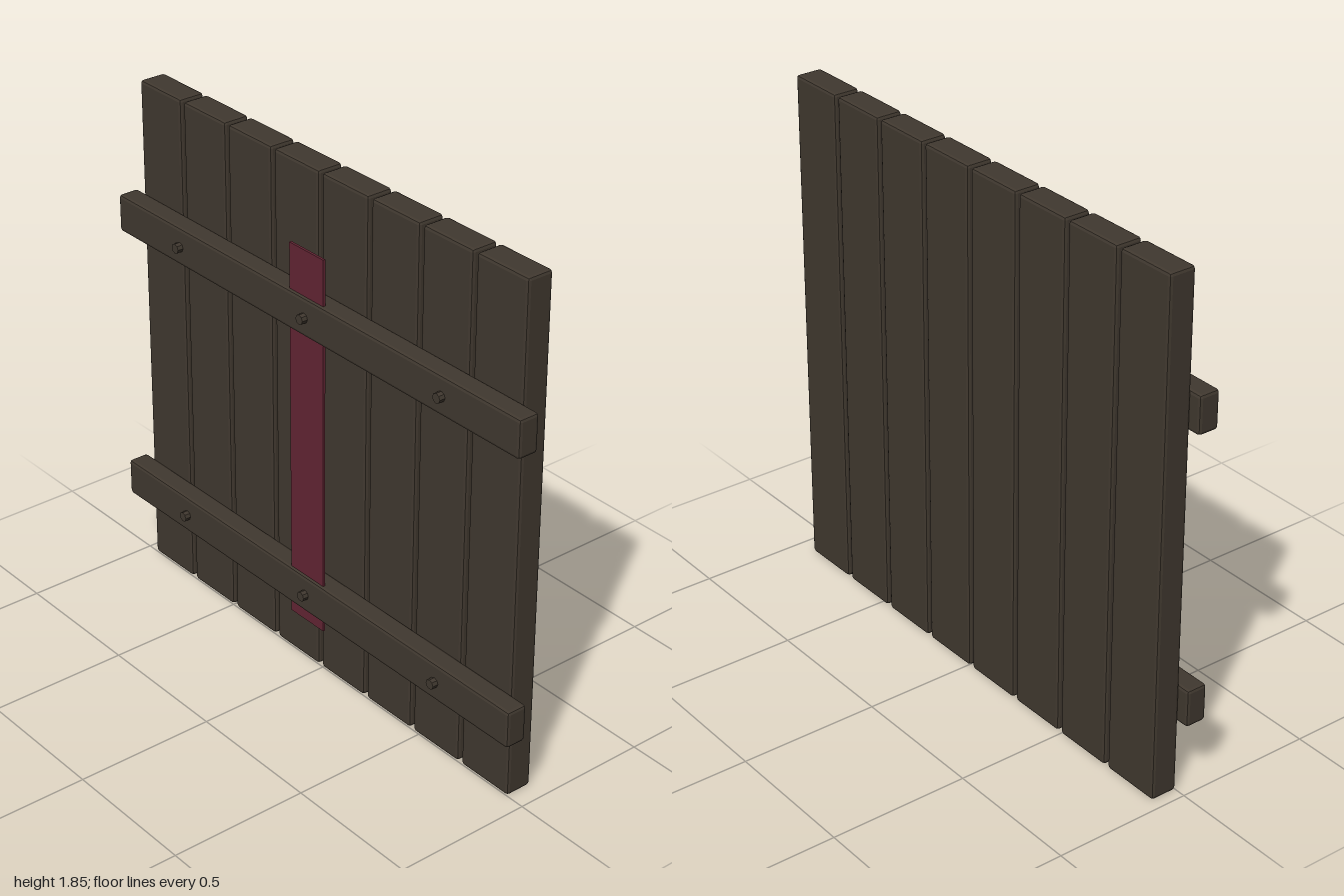
import * as THREE from 'three';
import { RoundedBoxGeometry } from 'three/addons/geometries/RoundedBoxGeometry.js';

const wood = new THREE.MeshStandardMaterial({ color: 0x40382f, flatShading: true });
wood.name = 'dark wood';
const cloth = new THREE.MeshStandardMaterial({ color: 0x622433 });
cloth.name = 'dark red';

function add(parent, name, geometry, material, x, y, z) {
  const mesh = new THREE.Mesh(geometry, material);
  mesh.name = name;
  mesh.position.set(x, y, z);
  parent.add(mesh);
  return mesh;
}

// Box with a narrow chamfer on every edge
const chamferBox = (w, h, d) => new RoundedBoxGeometry(w, h, d, 1, 0.011);

export function createModel() {
  const model = new THREE.Group();
  model.name = 'plankPanel';

  // Eight upright planks with narrow gaps
  const plank = chamferBox(0.222, 1.85, 0.098);
  for (let i = 0; i < 8; i++) {
    add(model, `plank${i + 1}`, plank, wood, -0.849 + i * 0.2384, 0.925, -0.049);
  }

  // Two cross beams, each with three bolts
  const beam = chamferBox(2, 0.136, 0.077);
  const bolt = new THREE.CylinderGeometry(0.0175, 0.0175, 0.036, 8).rotateX(Math.PI / 2);
  for (const [name, y] of [['upper', 1.372], ['lower', 0.328]]) {
    add(model, `${name}Beam`, beam, wood, 0, y, 0.0385);
    for (const x of [-0.655, 0, 0.655]) {
      add(model, `${name}Bolt`, bolt, wood, x, y, 0.08);
    }
  }

  // Thin red strip running behind the beam faces
  add(model, 'redStrip', new THREE.BoxGeometry(0.168, 1.385, 0.009), cloth, -0.003, 0.91, 0.061);

  return model;
}
